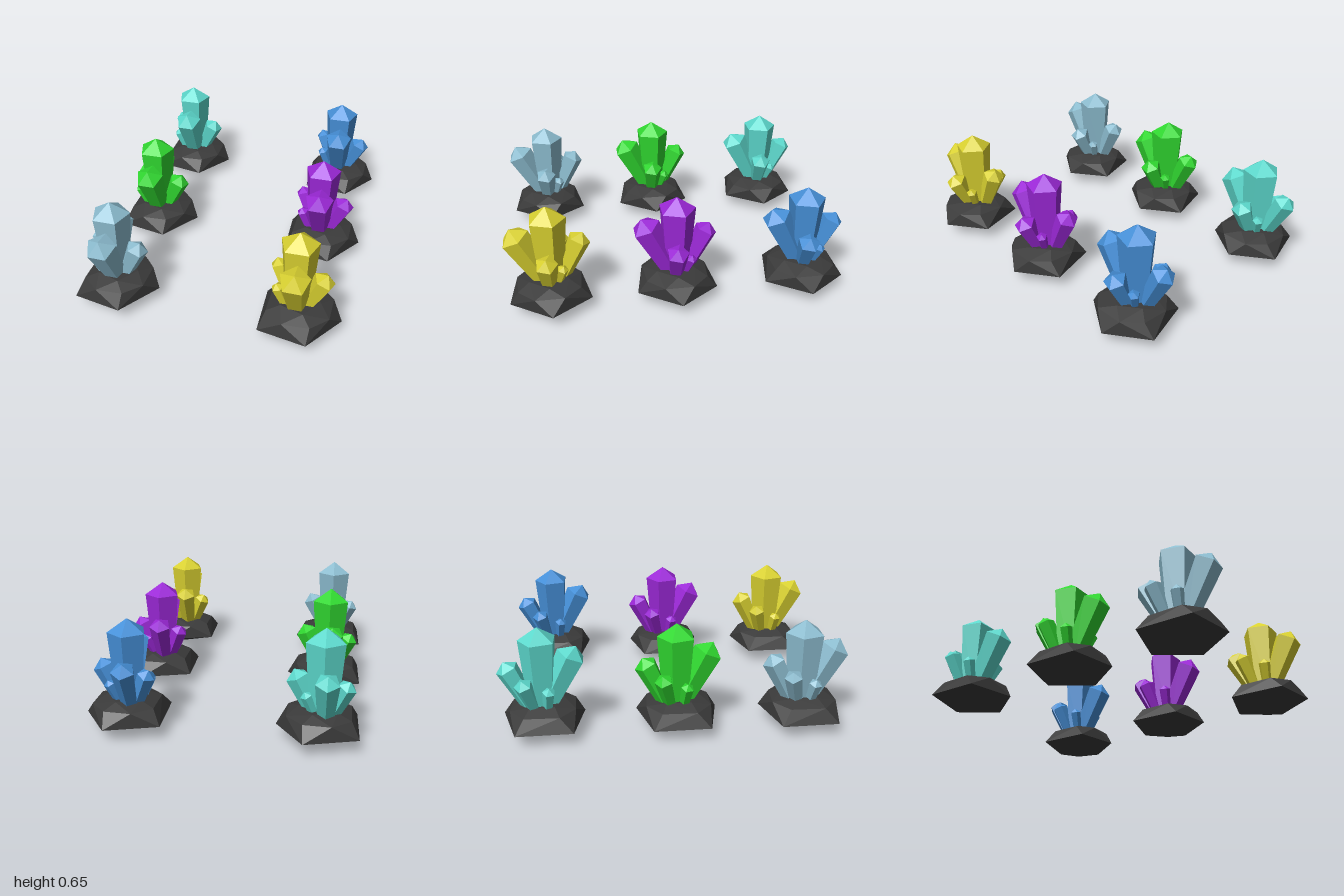
import * as THREE from 'three';
import { ConvexGeometry } from 'three/addons/geometries/ConvexGeometry.js';

const V = (x, y, z) => new THREE.Vector3(x, y, z);

// Faceted rock: pointed underside, five-cornered rim, bevelled top
function rockGeometry() {
  const pts = [V(-0.01, 0, -0.01)];
  const rim = [[0.23, -0.01], [0.067, 0.232], [-0.218, 0.178], [-0.23, -0.15], [0.067, -0.242]];
  for (const [x, z] of rim) pts.push(V(x, 0.08, z));
  const ring = (angles, r, y) => {
    for (const a of angles) {
      const t = THREE.MathUtils.degToRad(a);
      pts.push(V(r * Math.cos(t) - 0.012, y, r * Math.sin(t)));
    }
  };
  ring([-25, 25, 64, 110, 150, 210, 250, 296], 0.2, 0.165);
  ring([0, 72, 144, 216, 288], 0.12, 0.195);
  return new ConvexGeometry(pts);
}

// Five-sided crystal that widens to its shoulder and ends in a low point
function crystal(name, base, tip, r, material) {
  const from = V(...base), axis = V(...tip).sub(from);
  const len = axis.length();
  const profile = [[0, -0.04], [r * 0.68, -0.04], [r, len - r * 0.68], [0, len]];
  const geo = new THREE.LatheGeometry(profile.map(p => new THREE.Vector2(...p)), 5, Math.PI);
  const mesh = new THREE.Mesh(geo, material);
  mesh.name = name;
  mesh.position.copy(from);
  mesh.quaternion.setFromUnitVectors(V(0, 1, 0), axis.normalize());
  return mesh;
}

// name, base point, tip point, shoulder radius
const CRYSTALS = [
  ['mainCrystal', [-0.03, 0.18, -0.01], [-0.03, 0.653, -0.01], 0.112],
  ['frontCrystal', [-0.025, 0.19, 0.03], [-0.018, 0.53, 0.2], 0.088],
  ['backCrystal', [-0.045, 0.19, -0.08], [-0.052, 0.457, -0.208], 0.068],
  ['rightCrystal', [0.035, 0.19, 0], [0.138, 0.407, 0.006], 0.066],
  ['leftCrystal', [-0.08, 0.18, -0.05], [-0.167, 0.39, -0.1], 0.053],
  ['smallFrontCrystal', [-0.085, 0.17, 0.03], [-0.143, 0.325, 0.048], 0.038],
  ['smallBackCrystal', [0.02, 0.17, -0.05], [0.072, 0.312, -0.09], 0.033],
];

// cluster name, colour, x, z
const CLUSTERS = [
  ['paleCluster', 0x8cbccf, -0.545, 0.75],
  ['greenCluster', 0x30d830, -0.545, 0.014],
  ['tealCluster', 0x5cd8cc, -0.545, -0.763],
  ['yellowCluster', 0xd8d030, 0.541, 0.75],
  ['purpleCluster', 0x9c28d8, 0.541, 0.01],
  ['blueCluster', 0x4690d8, 0.541, -0.763],
];

export function createModel() {
  const model = new THREE.Group();
  model.name = 'crystalClusters';
  const rockGeo = rockGeometry();
  const rockMat = new THREE.MeshStandardMaterial({ color: 0x3a3a3a, flatShading: true });

  for (const [name, color, x, z] of CLUSTERS) {
    const cluster = new THREE.Group();
    cluster.name = name;
    cluster.position.set(x, 0, z);
    const rock = new THREE.Mesh(rockGeo, rockMat);
    rock.name = 'rockBase';
    cluster.add(rock);
    const material = new THREE.MeshStandardMaterial({ color, flatShading: true });
    for (const [part, base, tip, r] of CRYSTALS) cluster.add(crystal(part, base, tip, r, material));
    model.add(cluster);
  }
  return model;
}
